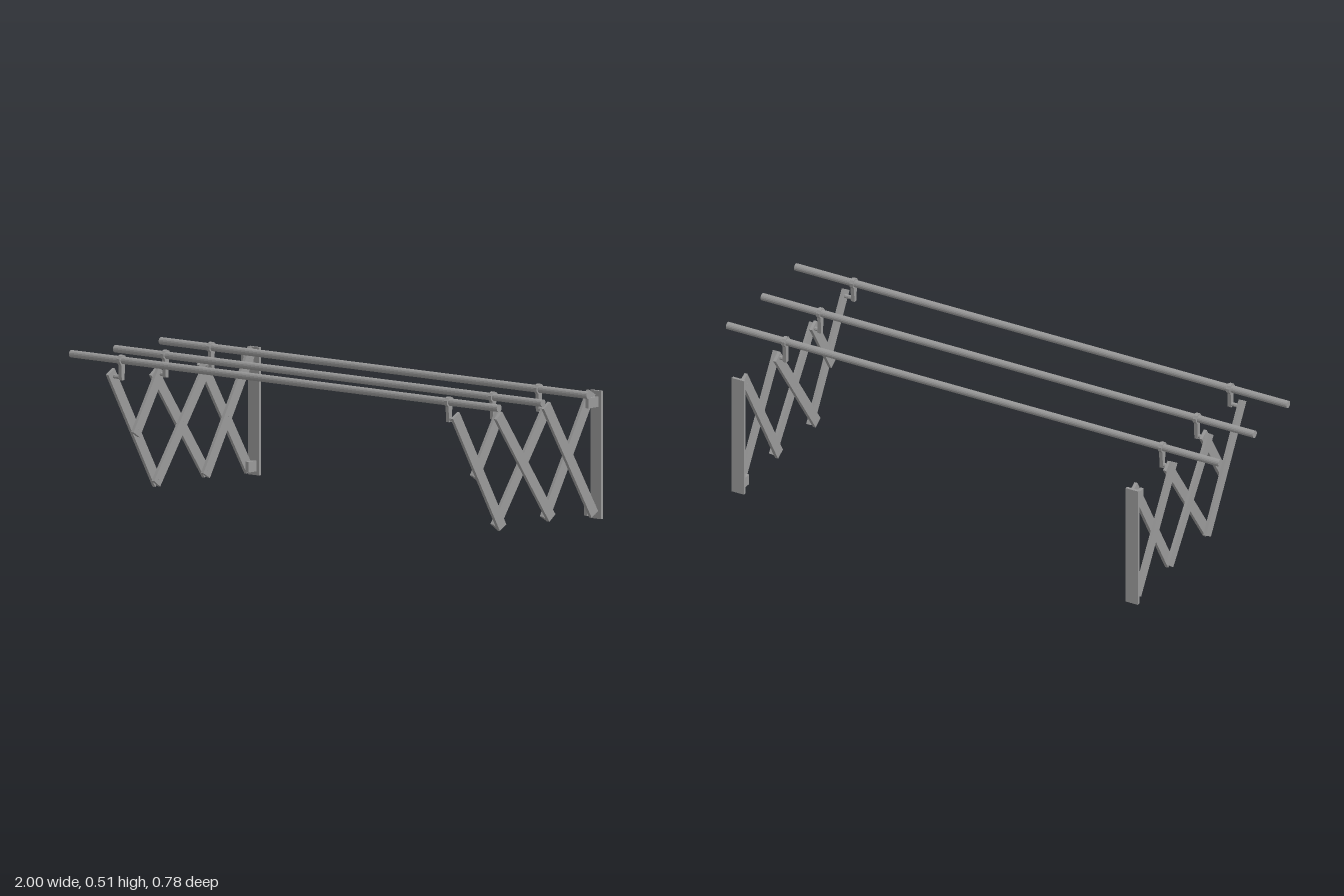
import * as THREE from 'three';

const mat = new THREE.MeshStandardMaterial({ color: 0x999999, flatShading: true });

function add(parent, geometry, name, x, y, z) {
  const mesh = new THREE.Mesh(geometry, mat);
  mesh.name = name;
  mesh.position.set(x, y, z);
  parent.add(mesh);
  return mesh;
}

// Cylinder lying along x
const rodGeometry = (r, length, sides) =>
  new THREE.CylinderGeometry(r, r, length, sides).rotateZ(Math.PI / 2);

// Flat bar between two [z, y] ends
function bar(parent, name, x, [z1, y1], [z2, y2]) {
  const length = Math.hypot(z2 - z1, y2 - y1);
  const mesh = add(parent, new THREE.BoxGeometry(0.012, length, 0.04), name,
    x, (y1 + y2) / 2, (z1 + z2) / 2);
  mesh.rotation.x = Math.atan2(z2 - z1, y2 - y1);
}

// Rail centres and the pivots their hangers hang on: [z, y, pivotY]
const rails = [[0.361, 0.493, 0.432], [0.127, 0.485, 0.416], [-0.117, 0.486, 0.416]];

// Eyelet with a tapered stem, extruded along x
function hangerGeometry(drop) {
  const shape = new THREE.Shape();
  shape.moveTo(-0.007, -drop - 0.01);
  shape.lineTo(0.007, -drop - 0.01);
  const n = 8, start = -Math.PI / 2 + 0.55, sweep = 2 * Math.PI - 1.1;
  for (let i = 0; i <= n; i++) {
    const a = start + sweep * i / n;
    shape.lineTo(0.0195 * Math.cos(a), 0.0195 * Math.sin(a));
  }
  const hole = new THREE.Path();
  hole.absarc(0, 0, 0.0125, 0, Math.PI * 2, true);
  shape.holes.push(hole);
  return new THREE.ExtrudeGeometry(shape, { depth: 0.014, bevelEnabled: false, curveSegments: 6 })
    .translate(0, 0, -0.007).rotateY(Math.PI / 2);
}

function scissorArm(side) {
  const arm = new THREE.Group();
  arm.name = side > 0 ? 'leftScissorArm' : 'rightScissorArm';
  const outer = side * 0.806, inner = side * 0.792;

  // Wall plate and its brackets
  add(arm, new THREE.BoxGeometry(0.05, 0.455, 0.011), 'wallPlate', side * 0.8, 0.2275, -0.3865);
  add(arm, new THREE.BoxGeometry(0.013, 0.036, 0.055), 'upperBracket', side * 0.8055, 0.416, -0.3555);
  add(arm, new THREE.BoxGeometry(0.014, 0.038, 0.045), 'lowerBracket', inner, 0.033, -0.3595);

  // Crossing bars in two layers
  bar(arm, 'outerBar', outer, [0.375, 0.45], [0.126, 0.025]);
  bar(arm, 'outerBar', outer, [0.146, 0.425], [-0.137, 0.03]);
  bar(arm, 'outerBar', outer, [-0.108, 0.433], [-0.363, 0.018]);
  bar(arm, 'innerBar', inner, [0.257, 0.214], [0.122, 0.43]);
  bar(arm, 'innerBar', inner, [0.148, 0.028], [-0.132, 0.425]);
  bar(arm, 'innerBar', inner, [-0.116, 0.028], [-0.365, 0.451]);

  // Pivot pins through the crossings
  const pivots = [[0.245, 0.229], [0.005, 0.229], [-0.236, 0.225],
    [0.134, 0.042], [-0.127, 0.046], [-0.352, 0.035], [-0.347, 0.417]];
  for (const [z, y] of pivots)
    add(arm, rodGeometry(0.006, 0.025, 8), 'pivotPin', side * 0.798, y, z);

  // Hangers and the pegs that join them to the bars
  for (const [z, y, pivotY] of rails) {
    add(arm, hangerGeometry(y - pivotY), 'railHanger', side * 0.765, y, z);
    add(arm, rodGeometry(0.0075, 0.05, 8), 'hangerPeg', side * 0.785, pivotY, z);
  }
  return arm;
}

export function createModel() {
  const group = new THREE.Group();
  group.name = 'foldingDryingRack';
  group.add(scissorArm(1), scissorArm(-1));
  // Long hanging rails
  for (const [z, y] of rails)
    add(group, rodGeometry(0.0135, 2, 16), 'hangingRail', 0, y, z);
  return group;
}
